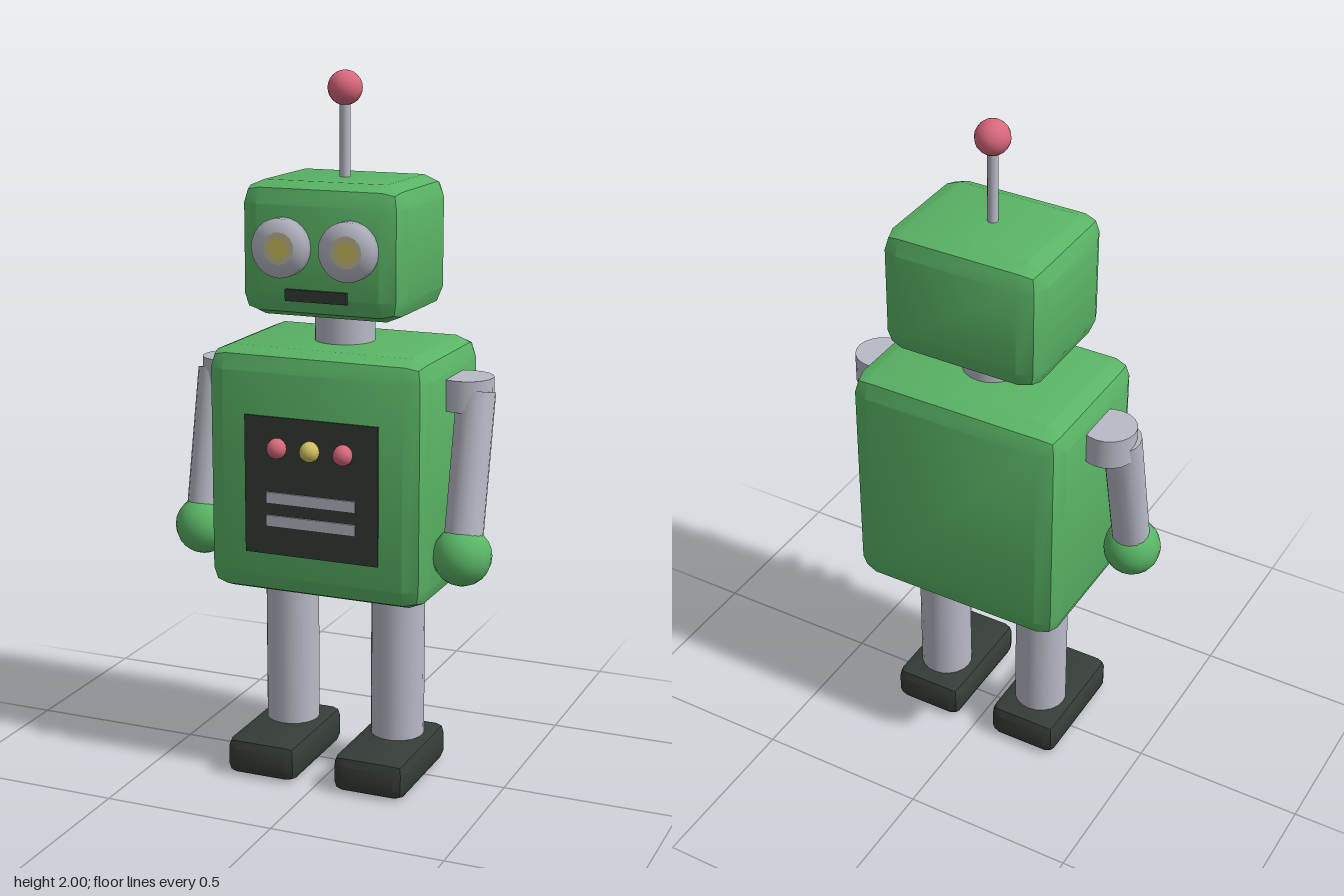
import * as THREE from 'three';
import { mergeVertices, toCreasedNormals } from 'three/addons/utils/BufferGeometryUtils.js';
import { RoundedBoxGeometry } from 'three/addons/geometries/RoundedBoxGeometry.js';

const paint = (name, color) => {
  const m = new THREE.MeshStandardMaterial({ color });
  m.name = name;
  return m;
};

export function createModel() {
  const green = paint('green', 0x5ab566);
  const steel = paint('steel', 0xb8bac6);
  const dark = paint('charcoal', 0x363d38);
  const red = paint('red', 0xd9687c);
  const yellow = paint('yellow', 0xd2c060);
  const paleYellow = paint('paleYellow', 0xc2bb92);

  const robot = new THREE.Group();
  robot.name = 'robot';
  const MID = -0.022; // depth of the main axis

  const add = (name, geometry, material, x, y, z) => {
    const mesh = new THREE.Mesh(geometry, material);
    mesh.name = name;
    mesh.position.set(x, y, z);
    robot.add(mesh);
    return mesh;
  };

  // Box with a two-facet bevel on every edge
  const bevelBox = (w, h, d, r) => toCreasedNormals(new RoundedBoxGeometry(w, h, d, 1, r), Math.PI / 6);
  const rod = (r, h, sides = 20) => new THREE.CylinderGeometry(r, r, h, sides);
  const ball = (r, w = 16, h = 12) => new THREE.SphereGeometry(r, w, h);

  // Disc facing forward, with normals shared over the rim for a soft look
  const softDisc = (r, depth) => {
    const g = new THREE.CylinderGeometry(r, r, depth, 24).rotateX(Math.PI / 2);
    g.deleteAttribute('uv');
    g.deleteAttribute('normal');
    const merged = mergeVertices(g);
    merged.computeVertexNormals();
    return merged;
  };

  // Torso, neck and head
  add('torso', bevelBox(0.652, 0.7, 0.478, 0.06), green, 0, 0.907, MID);
  add('neck', rod(0.085, 0.16), steel, 0, 1.3, MID);
  add('head', bevelBox(0.478, 0.37, 0.394, 0.06), green, 0, 1.526, MID);

  // Antenna
  add('antennaRod', rod(0.015, 0.24, 12), steel, 0, 1.81, MID);
  add('antennaBall', ball(0.048), red, 0, 1.952, MID);

  // Mouth
  add('mouth', new THREE.BoxGeometry(0.18, 0.032, 0.02), dark, 0, 1.409, 0.175);

  // Chest panel with buttons and vents
  add('chestPanel', new THREE.BoxGeometry(0.396, 0.392, 0.02), dark, 0, 0.88, 0.212);
  [-1, 0, 1].forEach((i) => {
    add('chestButton', ball(0.029, 10, 8), i ? red : yellow, i * 0.098, 0.99, 0.228);
  });
  [0.847, 0.781].forEach((y) => {
    add('chestVent', new THREE.BoxGeometry(0.264, 0.032, 0.008), steel, 0, y, 0.223);
  });

  // Mirrored parts
  for (const side of [-1, 1]) {
    // Eye with a soft yellow centre
    add('eye', softDisc(0.081, 0.05), steel, side * 0.098, 1.538, 0.181);
    add('pupilHalo', new THREE.CircleGeometry(0.044, 20), paleYellow, side * 0.098, 1.538, 0.2075);
    add('pupil', new THREE.CircleGeometry(0.028, 20), yellow, side * 0.098, 1.538, 0.209);

    // Shoulder, forward-leaning arm and round hand
    add('shoulder', rod(0.077, 0.088), steel, side * 0.36, 1.138, MID);
    const top = new THREE.Vector3(side * 0.394, 1.145, -0.01);
    const hand = new THREE.Vector3(side * 0.394, 0.702, 0.088);
    const arm = add('arm', rod(0.054, top.distanceTo(hand), 16), steel, 0, 0, 0);
    arm.position.lerpVectors(top, hand, 0.5);
    arm.quaternion.setFromUnitVectors(new THREE.Vector3(0, 1, 0), top.clone().sub(hand).normalize());
    add('hand', ball(0.083), green, hand.x, hand.y, hand.z);

    // Leg and foot
    add('leg', rod(0.077, 0.5), steel, side * 0.165, 0.34, MID);
    add('foot', bevelBox(0.216, 0.112, 0.366, 0.03), dark, side * 0.165, 0.056, 0.035);
  }

  return robot;
}
